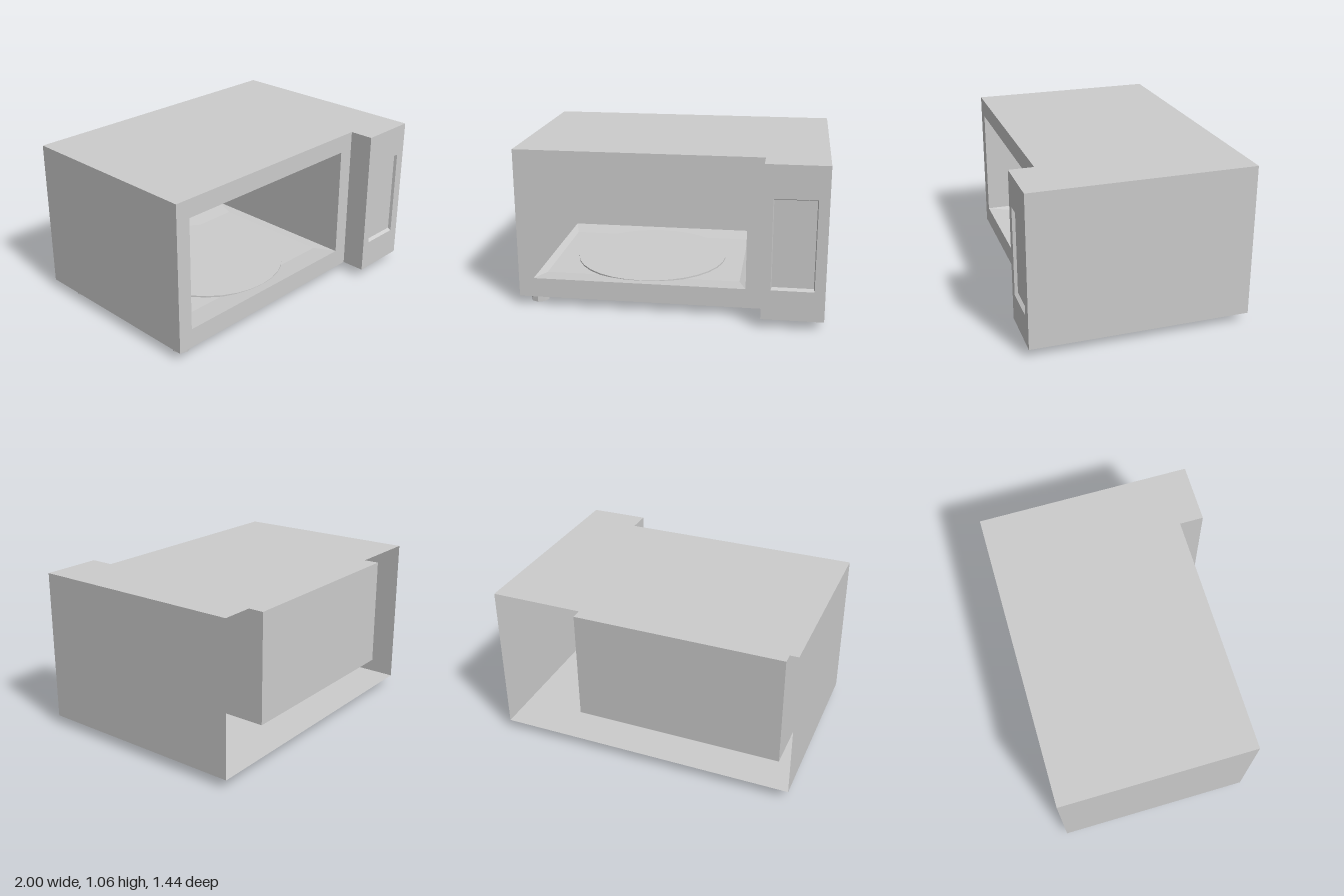
import * as THREE from 'three';

const material = new THREE.MeshStandardMaterial({ color: 0xcccccc, flatShading: true, side: THREE.DoubleSide });

function add(parent, name, geometry) {
  const mesh = new THREE.Mesh(geometry, material);
  mesh.name = name;
  parent.add(mesh);
  return mesh;
}

// Sheet made of four-cornered faces, corners counter-clockwise from the front
function sheet(quads) {
  const points = [];
  for (const [a, b, c, d] of quads) points.push(...a, ...b, ...c, ...a, ...c, ...d);
  const geometry = new THREE.BufferGeometry();
  geometry.setAttribute('position', new THREE.Float32BufferAttribute(points, 3));
  geometry.computeVertexNormals();
  return geometry;
}

// Faces joining two four-cornered loops
function join(a, b, sides = [0, 1, 2, 3]) {
  return sides.map((i) => [a[i], a[(i + 1) % 4], b[(i + 1) % 4], b[i]]);
}

const rectXY = (x0, x1, y0, y1, z) => [[x0, y0, z], [x1, y0, z], [x1, y1, z], [x0, y1, z]];
const rectXZ = (x0, x1, z0, z1, y) => [[x0, y, z1], [x1, y, z1], [x1, y, z0], [x0, y, z0]];

// Flat front plate with one rectangular opening
function plate(x0, x1, y0, y1, hole, z) {
  const corners = (r) => r.map(([x, y]) => new THREE.Vector2(x, y));
  const shape = new THREE.Shape(corners(rectXY(x0, x1, y0, y1, 0)));
  shape.holes.push(new THREE.Path(corners(hole).reverse()));
  return new THREE.ShapeGeometry(shape).translate(0, 0, z);
}

export function createModel() {
  const model = new THREE.Group();
  model.name = 'microwaveOven';
  const bottom = 0.06, top = 1.06, back = -0.72, front = 0.56, panelFront = 0.72, split = 0.605;

  // Thin outer casing, open at the back
  const casing = new THREE.Group();
  casing.name = 'casing';
  model.add(casing);
  const outline = [[-1, back], [-1, front], [split, front], [split, panelFront], [1, panelFront], [1, back]];
  const plan = new THREE.Shape(outline.map(([x, z]) => new THREE.Vector2(x, -z)));
  add(casing, 'casingTop', new THREE.ShapeGeometry(plan).rotateX(-Math.PI / 2).translate(0, top, 0));
  // The underside is mirrored so that it faces down
  const under = new THREE.Shape(outline.map(([x, z]) => new THREE.Vector2(x, z)));
  add(casing, 'casingBottom', new THREE.ShapeGeometry(under).rotateX(Math.PI / 2).translate(0, bottom, 0));
  const wall = ([x0, z0], [x1, z1]) => [[x0, bottom, z0], [x1, bottom, z1], [x1, top, z1], [x0, top, z0]];
  add(casing, 'casingSides', sheet([[0, 1], [2, 3], [4, 5]].map(([i, j]) => wall(outline[i], outline[j]))));

  // Front frame around the cooking space
  const mouth = rectXY(-0.9, 0.5, 0.19, 0.94, front);
  add(casing, 'frontFrame', plate(-1, split, bottom, top, mouth, front));

  // Cooking space: side walls, ceiling and rear wall
  const cavity = new THREE.Group();
  cavity.name = 'cavity';
  model.add(cavity);
  const rear = rectXY(-0.9, 0.5, 0.19, 0.94, -0.61);
  add(cavity, 'cavityWalls', sheet([...join(mouth, rear, [1, 2, 3]), rear]));

  // Slightly sunken floor with sloping edges
  const rim = rectXZ(-0.9, 0.5, -0.61, front, 0.19);
  const floor = rectXZ(-0.85, 0.45, -0.45, 0.4, 0.175);
  add(cavity, 'cavityFloor', sheet([...join(rim, floor), floor]));

  // Round turntable
  const turntable = add(cavity, 'turntable', new THREE.CylinderGeometry(0.52, 0.52, 0.01, 32));
  turntable.position.set(-0.2, 0.182, -0.025);

  // Control panel with a shallow recess
  const controls = new THREE.Group();
  controls.name = 'controlPanel';
  model.add(controls);
  const recessEdge = rectXY(0.663, 0.933, 0.257, 0.847, panelFront);
  const recess = rectXY(0.668, 0.928, 0.272, 0.838, panelFront - 0.02);
  add(controls, 'controlFrame', plate(split, 1, bottom, top, recessEdge, panelFront));
  add(controls, 'controlRecess', sheet([...join(recessEdge, recess), recess]));

  // Four hollow eight-sided feet
  const footGeometry = new THREE.CylinderGeometry(0.06, 0.06, 0.045, 8, 1, true);
  for (const x of [-0.893, 0.837]) {
    for (const z of [-0.525, 0.45]) {
      add(model, 'foot', footGeometry).position.set(x, 0.0225, z);
    }
  }
  return model;
}
